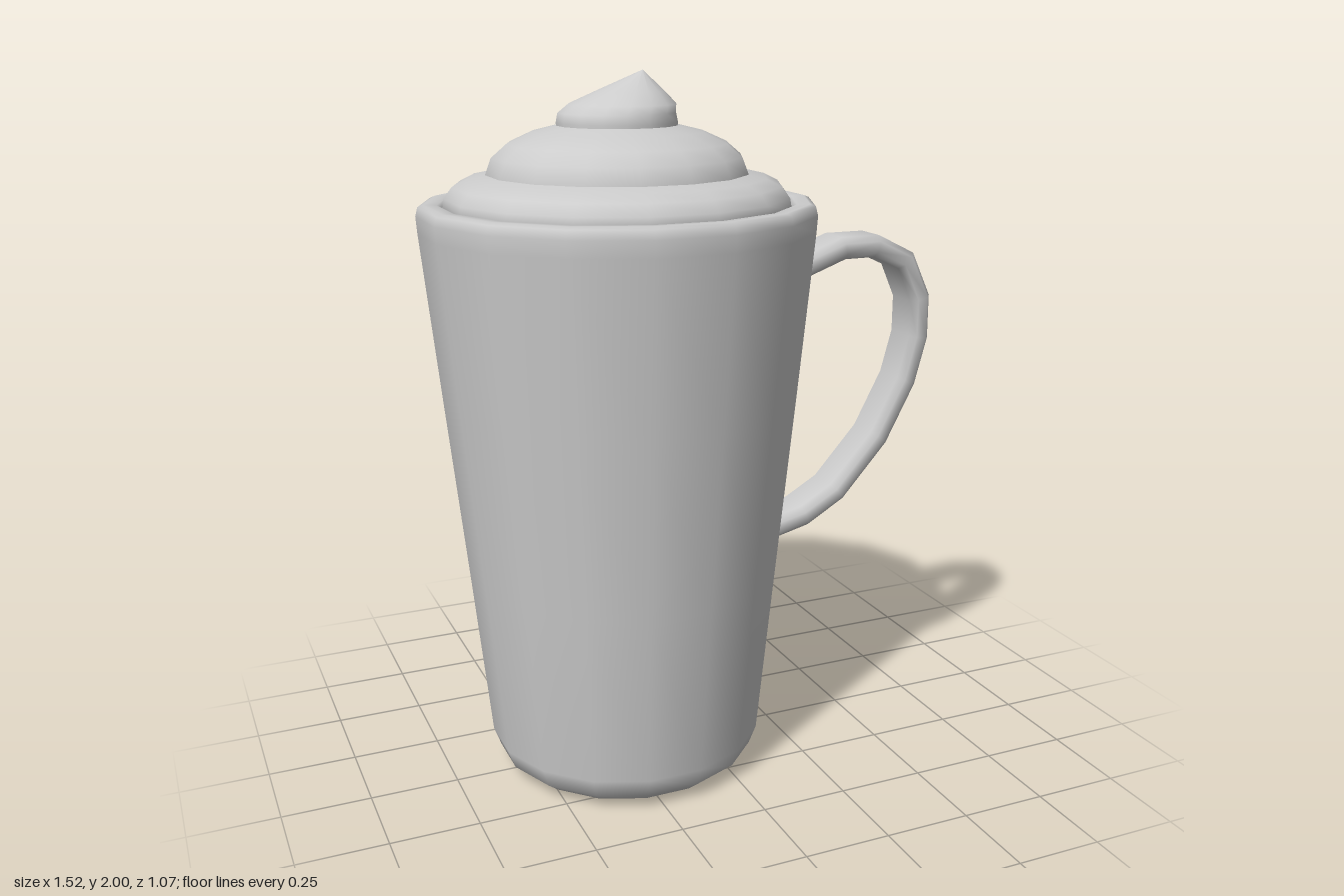
import * as THREE from 'three';

const SIDES = 16;
const CUP_X = -0.225;
const material = new THREE.MeshStandardMaterial({ color: 0xcccccc });

// Turned part with flat sides facing the axes; radii are measured to the flats
function turned(name, profile) {
  const k = 1 / Math.cos(Math.PI / SIDES);
  const points = profile.map(([r, y]) => new THREE.Vector2(r * k, y));
  const geometry = new THREE.LatheGeometry(points, SIDES, Math.PI / SIDES);
  const mesh = new THREE.Mesh(geometry, material);
  mesh.name = name;
  mesh.position.x = CUP_X;
  return mesh;
}

// Flat strap with chamfered corners swept along a path in the xy plane
function strap(name, path, section) {
  const n = section.length;
  const positions = [];
  const indices = [];
  path.forEach(([x, y], i) => {
    const a = path[Math.max(i - 1, 0)];
    const b = path[Math.min(i + 1, path.length - 1)];
    const t = new THREE.Vector2(b[0] - a[0], b[1] - a[1]).normalize();
    for (const [out, z] of section) positions.push(x - t.y * out, y + t.x * out, z);
    if (i === 0) return;
    for (let j = 0; j < n; j++) {
      const p = (i - 1) * n + j;
      const q = (i - 1) * n + (j + 1) % n;
      indices.push(p, q, p + n, q, q + n, p + n);
    }
  });
  // End caps
  const last = (path.length - 1) * n;
  for (let j = 1; j < n - 1; j++) {
    indices.push(0, j + 1, j, last, last + j, last + j + 1);
  }
  const geometry = new THREE.BufferGeometry();
  geometry.setAttribute('position', new THREE.Float32BufferAttribute(positions, 3));
  geometry.setIndex(indices);
  geometry.computeVertexNormals();
  const mesh = new THREE.Mesh(geometry, material);
  mesh.name = name;
  return mesh;
}

export function createModel() {
  const model = new THREE.Group();
  model.name = 'mugOfCream';

  // Tapered mug with rounded foot and rolled rim
  model.add(turned('mug', [
    [0, 0], [0.27, 0], [0.33, 0.012], [0.37, 0.045], [0.39, 0.1],
    [0.438, 0.6], [0.487, 1.1], [0.533, 1.58], [0.536, 1.625], [0.53, 1.65],
    [0.515, 1.656], [0.48, 1.654], [0.465, 1.64], [0.455, 1.56],
  ]));

  // Two stacked swirls of cream
  model.add(turned('lowerCream', [
    [0.45, 1.6], [0.467, 1.64], [0.462, 1.67], [0.44, 1.7], [0.4, 1.72], [0.33, 1.735],
  ]));
  model.add(turned('middleCream', [
    [0.35, 1.7], [0.352, 1.73], [0.335, 1.775], [0.295, 1.81], [0.23, 1.84], [0.13, 1.865],
  ]));

  // Top dollop, its tip leaning towards the handle
  const tip = turned('creamTip', [
    [0.16, 1.83], [0.163, 1.865], [0.158, 1.89], [0.145, 1.912], [0.092, 1.945], [0, 2],
  ]);
  const pos = tip.geometry.attributes.position;
  for (let i = 0; i < pos.count; i++) {
    const lean = Math.max(0, (pos.getY(i) - 1.89) / 0.11);
    pos.setX(i, pos.getX(i) + 0.075 * lean);
  }
  // Rebuild normals while keeping the lathe seam smooth
  tip.geometry.deleteAttribute('uv');
  tip.geometry.computeVertexNormals();
  const normals = tip.geometry.attributes.normal;
  const rows = pos.count / (SIDES + 1);
  for (let j = 0; j < rows; j++) {
    const end = SIDES * rows + j;
    const v = new THREE.Vector3().fromBufferAttribute(normals, j)
      .add(new THREE.Vector3().fromBufferAttribute(normals, end)).normalize();
    normals.setXYZ(j, v.x, v.y, v.z);
    normals.setXYZ(end, v.x, v.y, v.z);
  }
  model.add(tip);

  // Ear-shaped handle
  model.add(strap('handle', [
    [0.24, 1.405], [0.31, 1.435], [0.455, 1.487], [0.565, 1.487], [0.668, 1.437],
    [0.722, 1.32], [0.722, 1.2], [0.685, 1.065], [0.595, 0.895], [0.455, 0.74],
    [0.345, 0.677], [0.24, 0.652], [0.18, 0.648],
  ], [
    [0.033, -0.05], [0.033, 0.05], [0.016, 0.07], [-0.016, 0.07],
    [-0.033, 0.05], [-0.033, -0.05], [-0.016, -0.07], [0.016, -0.07],
  ]));

  return model;
}
